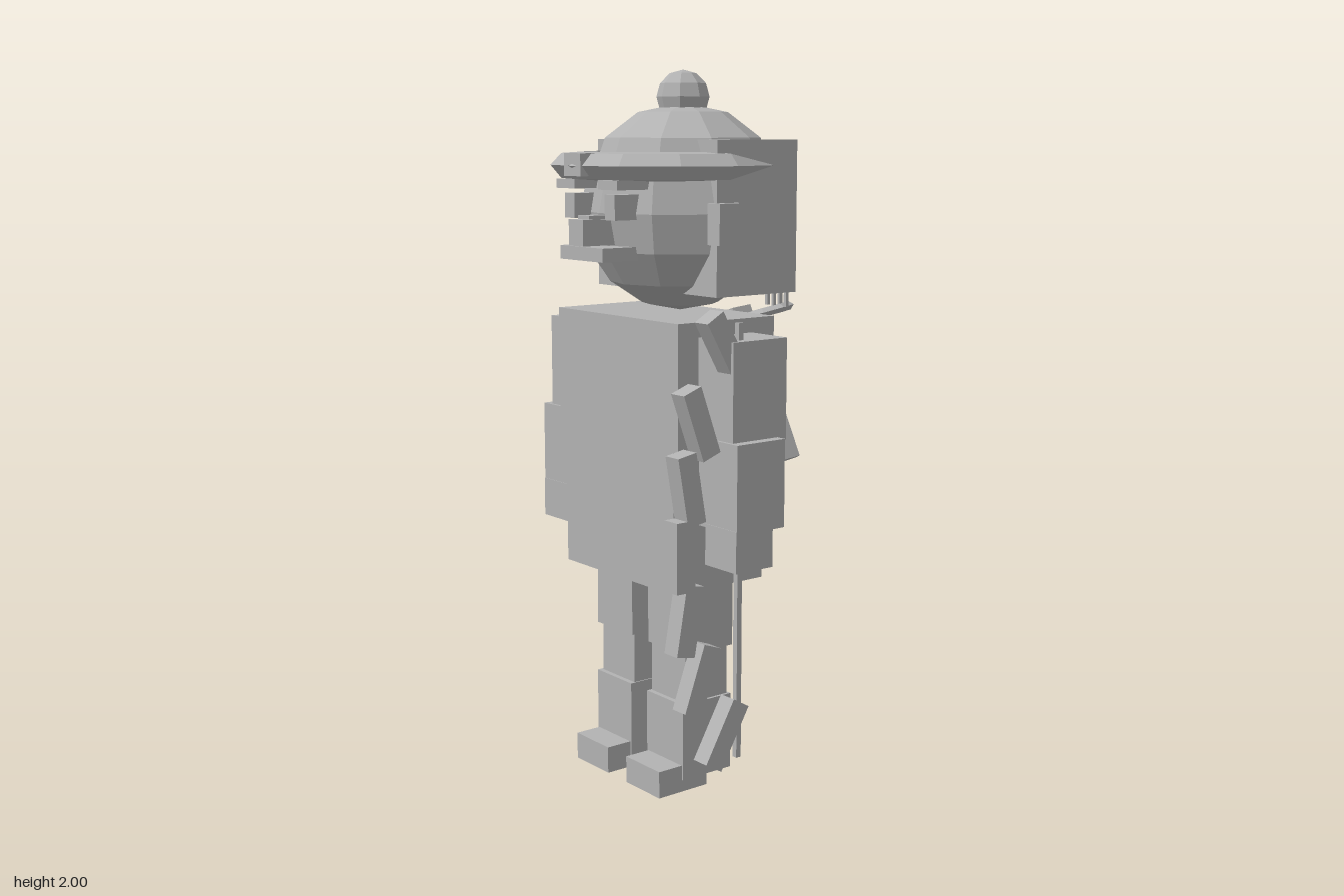
import * as THREE from 'three';

const grey = new THREE.MeshStandardMaterial({ color: 0xb2b2b2, flatShading: true });
grey.name = 'plain grey';
const greyOpen = new THREE.MeshStandardMaterial({ color: 0xb2b2b2, flatShading: true, side: THREE.DoubleSide });
greyOpen.name = 'plain grey two-sided';

export function createModel() {
  const model = new THREE.Group();
  model.name = 'archer';

  const add = (name, geometry, x = 0, y = 0, z = 0, material = grey) => {
    const mesh = new THREE.Mesh(geometry, material);
    mesh.name = name;
    mesh.position.set(x, y, z);
    model.add(mesh);
    return mesh;
  };
  // box given by its limits on each axis
  const box = (name, x0, x1, y0, y1, z0, z1) =>
    add(name, new THREE.BoxGeometry(x1 - x0, y1 - y0, z1 - z0), (x0 + x1) / 2, (y0 + y1) / 2, (z0 + z1) / 2);
  const pair = (name, x0, x1, ...rest) => {
    box(name + 'Left', x0, x1, ...rest);
    box(name + 'Right', -x1, -x0, ...rest);
  };

  // body
  box('chest', -0.275, 0.275, 0.99, 1.335, -0.13, 0.205);
  box('waist', -0.255, 0.255, 0.865, 0.99, -0.115, 0.205);
  box('tunicSkirt', -0.25, 0.25, 0.595, 0.867, -0.115, 0.2);

  // arms
  pair('upperArm', 0.27, 0.418, 1.02, 1.295, -0.05, 0.135);
  pair('forearm', 0.29, 0.448, 0.79, 1.03, -0.02, 0.145);
  pair('hand', 0.32, 0.448, 0.687, 0.8, 0.02, 0.147);

  // legs
  pair('thigh', 0.038, 0.207, 0.4, 0.6, -0.045, 0.125);
  pair('shin', 0.042, 0.195, 0.24, 0.41, -0.035, 0.115);
  pair('boot', 0.038, 0.203, 0.035, 0.255, -0.043, 0.13);
  pair('foot', 0.044, 0.198, 0, 0.077, 0.04, 0.21);

  // head and hair
  add('head', new THREE.SphereGeometry(0.278, 10, 8).rotateY(Math.PI / 2), 0, 1.615, -0.02);
  box('hair', -0.268, 0.268, 1.395, 1.81, -0.215, 0.068);

  // face
  pair('ear', 0.25, 0.3, 1.535, 1.645, 0, 0.085);
  pair('eyebrow', 0.055, 0.14, 1.68, 1.705, 0.19, 0.3);
  pair('eye', 0.07, 0.115, 1.6, 1.667, 0.18, 0.29);
  box('noseBridge', -0.025, 0.025, 1.585, 1.61, 0.2, 0.31);
  box('nose', -0.033, 0.033, 1.53, 1.6, 0.22, 0.335);
  box('mouth', -0.098, 0.098, 1.49, 1.527, 0.2, 0.318);

  // cap dome with a ball on top
  add('capDome', new THREE.SphereGeometry(0.25, 10, 3, 0, Math.PI * 2, 0, Math.PI / 2).rotateY(Math.PI / 2)
    .scale(1, 0.76, 1), 0, 1.72, -0.03, greyOpen);
  add('capBall', new THREE.SphereGeometry(0.074, 8, 6), 0, 1.926, -0.03);

  // crescent brim: one cross-section swept round the front, narrowing to a tip on each side
  const section = [[0.04, 0], [0.01, 0.032], [-0.05, 0.036], [-0.07, 0], [-0.05, -0.04], [0.01, -0.036]];
  const points = [], faces = [], n = section.length;
  for (let i = 0; i <= 8; i++) {
    const a = (-30 + i * 30) * Math.PI / 180;
    const s = i % 8 === 0 ? 0.05 : 1;
    for (const [dr, dy] of section) {
      const r = 0.275 + 0.04 + (dr - 0.04) * s;
      points.push(Math.cos(a) * r, dy * s, Math.sin(a) * r);
    }
    if (i === 8) break;
    for (let j = 0; j < n; j++) {
      const p = i * n + j, q = i * n + (j + 1) % n;
      faces.push(p, q, p + n, q, q + n, p + n);
    }
  }
  const brim = new THREE.BufferGeometry();
  brim.setAttribute('position', new THREE.Float32BufferAttribute(points, 3));
  brim.setIndex(faces);
  brim.computeVertexNormals();
  add('capBrim', brim, 0, 1.742, 0.035, greyOpen);
  box('capBadge', -0.038, 0.038, 1.715, 1.775, 0.29, 0.345);

  // ribbon knot and tails behind the cap
  box('ribbonKnot', -0.028, 0.028, 1.7, 1.745, -0.305, -0.2);
  for (const s of [-1, 1]) {
    const tail = add(s > 0 ? 'ribbonTailLeft' : 'ribbonTailRight', new THREE.BoxGeometry(0.046, 0.17, 0.02), s * 0.054, 1.665, -0.317);
    tail.rotation.set(0.4, s * 0.25, 0, 'YXZ');
  }

  // bow: seven tilted staves and a string
  const bow = [[1.28, 0.14], [1.09, 0.23], [0.92, 0.263], [0.745, 0.283], [0.57, 0.267], [0.4, 0.225], [0.23, 0.14]];
  bow.forEach(([y, z], i) => {
    const stave = add('bowStave', new THREE.BoxGeometry(0.054, 0.19, 0.06), 0.382, y, z);
    stave.rotation.x = (3 - i) * 0.175;
  });
  box('bowString', 0.374, 0.39, 0.15, 1.34, 0.077, 0.093);

  // six-sided quiver leaning across the back
  const top = new THREE.Vector3(0.02, 1.32, -0.185), bottom = new THREE.Vector3(0.19, 0.9, -0.228);
  const axis = top.clone().sub(bottom);
  const mid = top.clone().add(bottom).multiplyScalar(0.5);
  const quiver = add('quiver', new THREE.CylinderGeometry(0.068, 0.068, axis.length(), 6), mid.x, mid.y, mid.z);
  quiver.quaternion.setFromUnitVectors(new THREE.Vector3(0, 1, 0), axis.normalize());
  const rim = add('quiverRim', new THREE.TorusGeometry(0.07, 0.012, 4, 8).rotateX(Math.PI / 2), 0.15, 1.33, -0.21);
  rim.rotation.set(0.15, 0, 0.25);

  // arrow shafts above the quiver
  for (let i = 0; i < 4; i++) {
    const x = 0.145 + i * 0.026;
    box('arrow', x, x + 0.009, 1.35, 1.49 - (i % 2) * 0.02, -0.222, -0.212);
  }
  return model;
}
